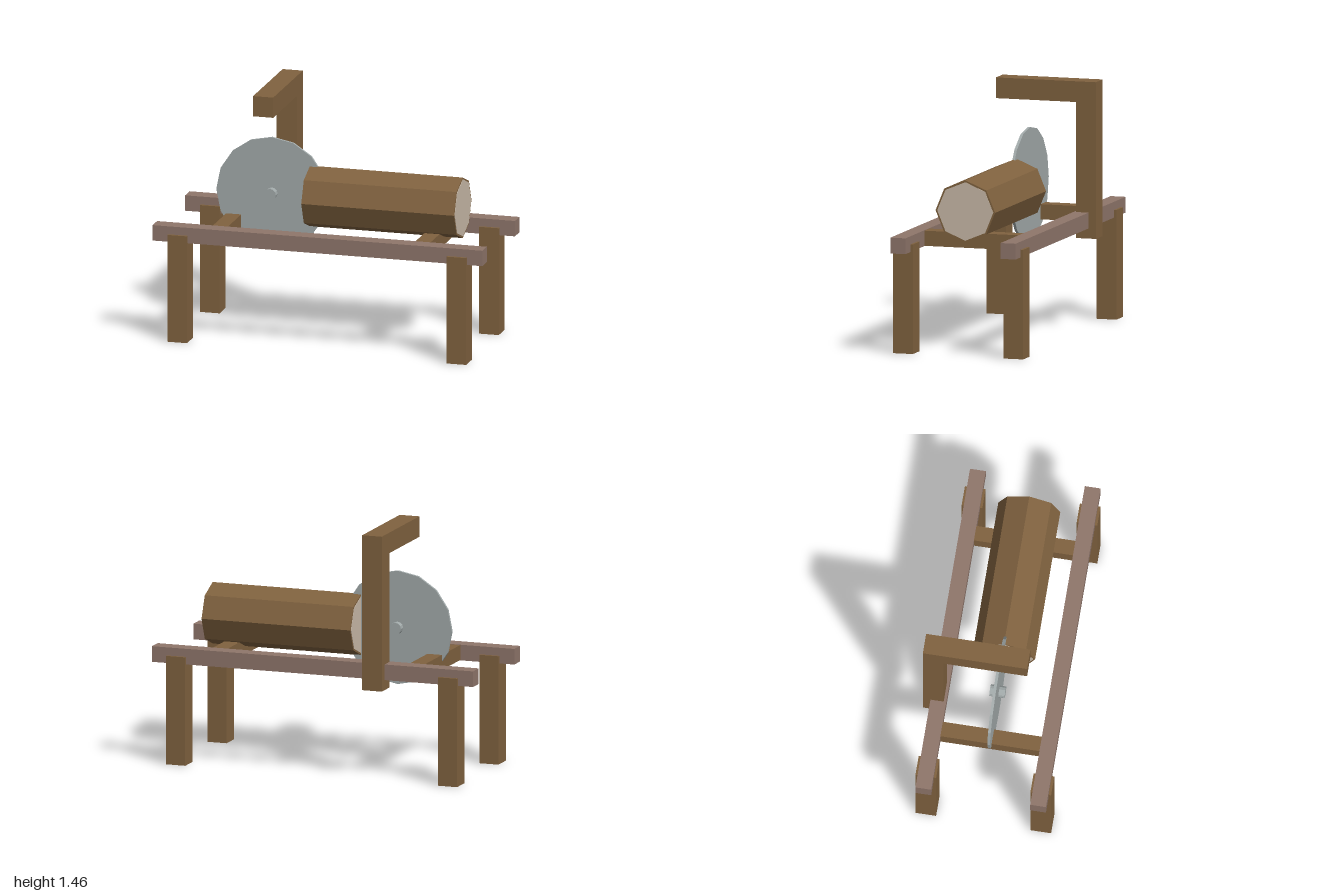
import * as THREE from 'three';

const mat = (name, color) => {
  const m = new THREE.MeshStandardMaterial({ color });
  m.name = name;
  return m;
};

export function createModel() {
  const wood = mat('brown wood', 0x80623f);
  const railWood = mat('reddish wood', 0x8f766b);
  const steel = mat('grey steel', 0xa2aaaa);
  const cutWood = mat('pale cut wood', 0xcabaa8);

  const model = new THREE.Group();
  model.name = 'sawBench';

  const add = (name, geometry, material) => {
    const mesh = new THREE.Mesh(geometry, material);
    mesh.name = name;
    model.add(mesh);
    return mesh;
  };
  // Box given by its limits on each axis
  const box = (name, material, [x0, x1], [y0, y1], [z0, z1]) => {
    const b = add(name, new THREE.BoxGeometry(x1 - x0, y1 - y0, z1 - z0), material);
    b.position.set((x0 + x1) / 2, (y0 + y1) / 2, (z0 + z1) / 2);
    return b;
  };
  // Flat-sided cylinder with separate side and end materials
  const prism = (name, radius, length, sides, side, ends) => {
    const g = new THREE.CylinderGeometry(radius, radius, length, sides).toNonIndexed();
    g.computeVertexNormals();
    const n = sides * 6;
    g.clearGroups();
    g.addGroup(0, n, 0);
    g.addGroup(n, g.attributes.position.count - n, 1);
    return add(name, g, [side, ends]);
  };

  // Long rails
  box('frontRail', railWood, [-1, 1], [0.6, 0.693], [0.307, 0.4]);
  box('backRail', railWood, [-1, 1], [0.6, 0.693], [-0.37, -0.277]);

  // Legs
  for (const s of [-1, 1]) {
    const x = s < 0 ? [-0.906, -0.787] : [0.787, 0.906];
    box('frontLeg', wood, x, [0, 0.645], [0.293, 0.415]);
    box('backLeg', wood, x, [0, 0.645], [-0.385, -0.263]);
  }

  // Cross beams between the rails
  box('rightCrossBeam', wood, [-0.663, -0.572], [0.602, 0.691], [-0.3, 0.33]);
  box('leftCrossBeam', wood, [0.566, 0.657], [0.602, 0.691], [-0.3, 0.33]);

  // Post with overhanging arm, one L-shaped profile drawn in (z, y)
  const profile = new THREE.Shape([
    [-0.415, 0.54], [-0.292, 0.54], [-0.292, 1.34],
    [0.2, 1.34], [0.2, 1.462], [-0.415, 1.462],
  ].map(([z, y]) => new THREE.Vector2(-z, y)));
  const post = add('postAndArm', new THREE.ExtrudeGeometry(profile, { depth: 0.122, bevelEnabled: false }), wood);
  post.rotation.y = Math.PI / 2;
  post.position.x = -0.449;

  // Saw blade and its axle
  const blade = prism('sawBlade', 0.337, 0.016, 16, steel, steel);
  const axle = prism('axle', 0.035, 0.09, 12, steel, steel);
  for (const part of [blade, axle]) {
    part.rotation.x = Math.PI / 2;
    part.position.set(-0.386, 0.834, 0.017);
  }

  // Eight-sided log, with pale cut faces inside a rim of bark
  const log = prism('log', 0.183, 0.926, 8, wood, wood);
  log.rotation.z = Math.PI / 2;
  log.position.set(0.306, 0.833, 0.017);
  for (const s of [-1, 1]) {
    const cut = prism('cutFace', 0.172, 0.004, 8, cutWood, cutWood);
    cut.rotation.z = Math.PI / 2;
    cut.position.set(0.306 + s * 0.463, 0.833, 0.017);
  }

  return model;
}
